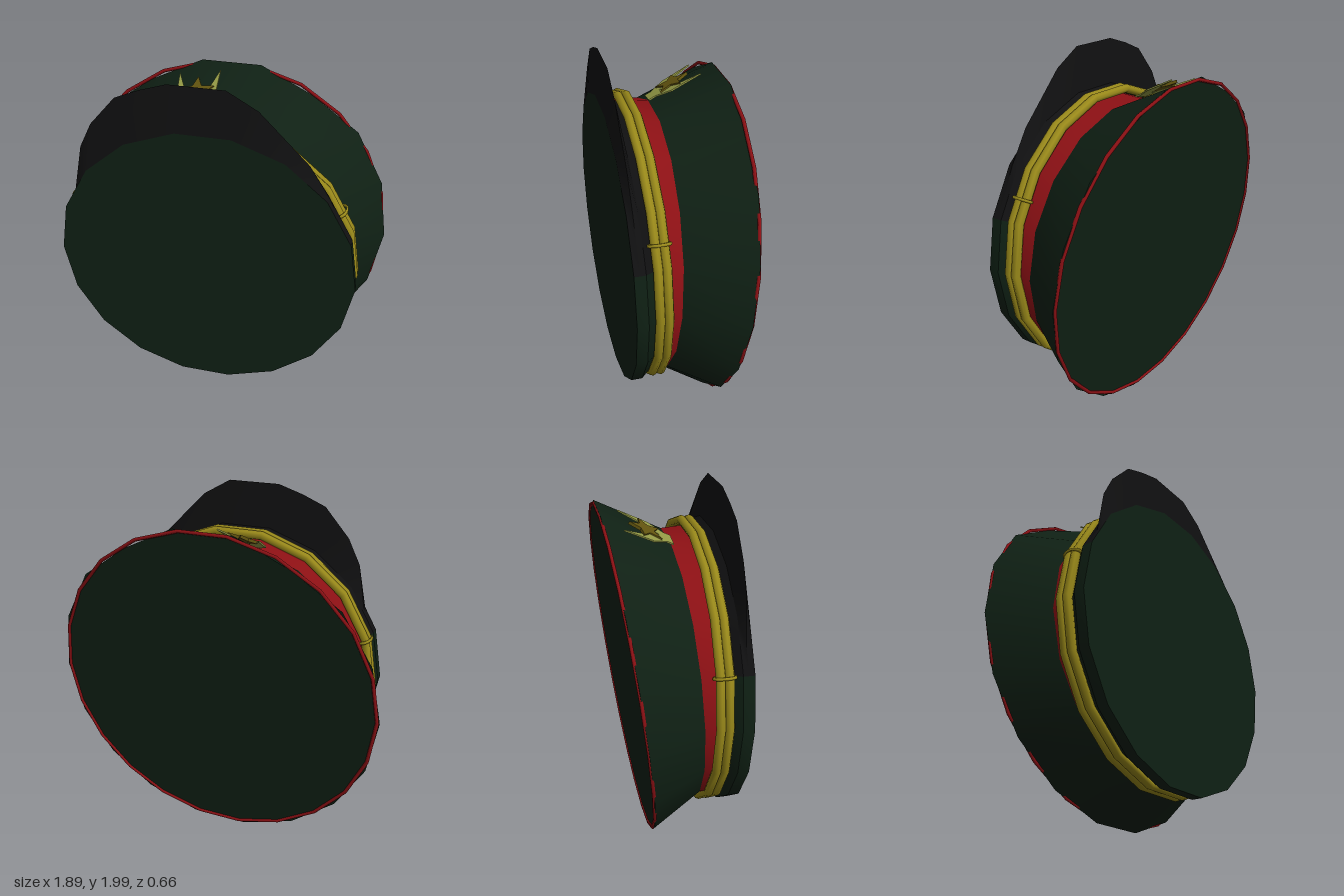
import * as THREE from 'three';

const SIDES = 18;
const CENTRE_Y = 0.945;
const mat = (color) => new THREE.MeshStandardMaterial({ color, side: THREE.DoubleSide });

// Ring of points around the z axis; z may be a number or a function of y
function ring(radius, z, cy = CENTRE_Y, n = SIDES, scaleAt = () => 1) {
  const pts = [];
  for (let i = 0; i < n; i++) {
    const a = (i / n) * Math.PI * 2;
    const r = radius * scaleAt(i);
    const y = cy + r * Math.sin(a);
    pts.push(new THREE.Vector3(r * Math.cos(a), y, typeof z === 'function' ? z(y) : z));
  }
  return pts;
}

// Surface between two rows of points, front row first
function loft(a, b, closed = true) {
  const n = a.length;
  const index = [];
  for (let i = 0; i < (closed ? n : n - 1); i++) {
    const j = (i + 1) % n;
    index.push(i, n + i, j, j, n + i, n + j);
  }
  const g = new THREE.BufferGeometry().setFromPoints([...a, ...b]);
  g.setIndex(index);
  g.computeVertexNormals();
  return g;
}

// Row of points along part of a ring, with a midpoint on every side
function arc(points, from, to) {
  const out = [];
  for (let i = from; i <= to; i++) {
    out.push(points[i].clone());
    if (i < to) out.push(points[i].clone().lerp(points[i + 1], 0.5));
  }
  return out;
}

function hoop(points, radius, sides) {
  const curve = new THREE.CatmullRomCurve3(points, true);
  return new THREE.TubeGeometry(curve, points.length, radius, sides, true);
}

function plate(points, depth) {
  const shape = new THREE.Shape(points.map(([x, y]) => new THREE.Vector2(x, y)));
  return new THREE.ExtrudeGeometry(shape, { depth, bevelEnabled: false });
}

export function createModel() {
  const model = new THREE.Group();
  model.name = 'peakedCap';
  const green = mat(0x0f2014);
  const black = mat(0x101011);
  const red = mat(0x8c1014);
  const gold = mat(0x99891a);
  const darkGold = mat(0x62540f);
  const paleGold = mat(0x949a45);

  const add = (name, geometry, material, parent = model) => {
    const mesh = new THREE.Mesh(geometry, material);
    mesh.name = name;
    parent.add(mesh);
    return mesh;
  };

  // Tilted planes of the band seam and the crown rim
  const seamZ = (y) => 0.09 - 0.059 * (y - 0.94);
  const rimZ = (y) => -0.22 - 0.108 * (y - 0.94);

  const opening = ring(0.825, 0.33);
  const lip = ring(0.825, 0.27);
  const neck = ring(0.782, 0.22);
  const seam = ring(0.778, seamZ, 0.935);
  const rim = ring(0.945, rimZ, 0.94, SIDES, (i) => (i === 3 || i === 6 ? 0.967 : 1));

  // Cap body
  add('underside', loft(ring(0, 0.33), opening), green);
  add('band', loft(neck, seam), red);
  add('crownWall', loft(seam, rim), green);
  add('crownTop', loft(rim, ring(0, rimZ, 0.94)), green);

  // Lower edge: green around the back, black beside the visor
  const backArc = (r) => [...r.slice(8), r[0], r[1]];
  add('lowerEdge', loft(backArc(opening), backArc(lip), false), green);
  add('lowerSlopeBack', loft(backArc(lip), backArc(neck), false), green);
  add('lowerSlopeFront', loft(arc(lip, 1, 8), arc(neck, 1, 8), false), black);

  // Visor: a thin wedge rising from the lower edge
  const visorFront = arc(opening, 1, 8);
  const visorBack = arc(lip, 1, 8);
  const outline = [
    [0.64, 1.48], [0.53, 1.65], [0.40, 1.78], [0.27, 1.91], [0.11, 2.0], [-0.035, 2.0],
    [-0.18, 2.0], [-0.32, 1.955], [-0.45, 1.90], [-0.59, 1.74], [-0.66, 1.60],
  ];
  const visorTip = visorFront.map((p, i) => {
    const o = outline[i - 2];
    return new THREE.Vector3(o ? o[0] : p.x, o ? o[1] : p.y, 0.3);
  });
  add('visorFront', loft(visorFront, visorTip, false), black);
  add('visorBack', loft(visorTip, visorBack, false), black);

  // Piping around the crown
  add('crownPiping', hoop(ring(0.93, rimZ, 0.94, 22), 0.01, 6), red);

  // Twin cord with a loop on each side
  for (const z of [0.163, 0.207]) {
    add('cord', hoop(ring(0.802, z, 0.952), 0.025, 8), gold);
  }
  for (const deg of [29, 160.5]) {
    const a = THREE.MathUtils.degToRad(deg);
    const holder = new THREE.Group();
    holder.name = 'cordLoop';
    holder.position.set(0.795 * Math.cos(a), 0.95 + 0.795 * Math.sin(a), 0.186);
    holder.rotation.z = a;
    const loop = add('loop', new THREE.TorusGeometry(0.054, 0.009, 6, 16), gold, holder);
    loop.rotation.x = Math.PI / 2;
    loop.scale.x = 0.7;
    model.add(holder);
  }

  // Badge lying on the crown wall
  const turn = new THREE.Group();
  turn.name = 'badge';
  turn.position.y = 0.94;
  turn.rotation.z = 0.165;
  const badge = new THREE.Group();
  badge.name = 'badgePlate';
  badge.position.set(0, 0.85, -0.09);
  badge.rotation.x = -1.12;
  turn.add(badge);
  model.add(turn);

  const half = [[0.05, -0.155], [0.05, -0.115], [0.108, -0.03], [0.115, 0.145], [0.07, 0.03]];
  const mirrored = half.map(([x, y]) => [-x, y]).reverse();
  add('badgeWings', plate([...half, [0, -0.08], ...mirrored], 0.008), paleGold, badge);

  const star = [];
  for (let i = 0; i < 10; i++) {
    const a = Math.PI / 2 + (i * Math.PI) / 5;
    const r = i % 2 ? 0.045 : 0.1;
    star.push([r * Math.cos(a), r * Math.sin(a)]);
  }
  add('badgeStar', plate(star, 0.016), darkGold, badge);

  return model;
}
